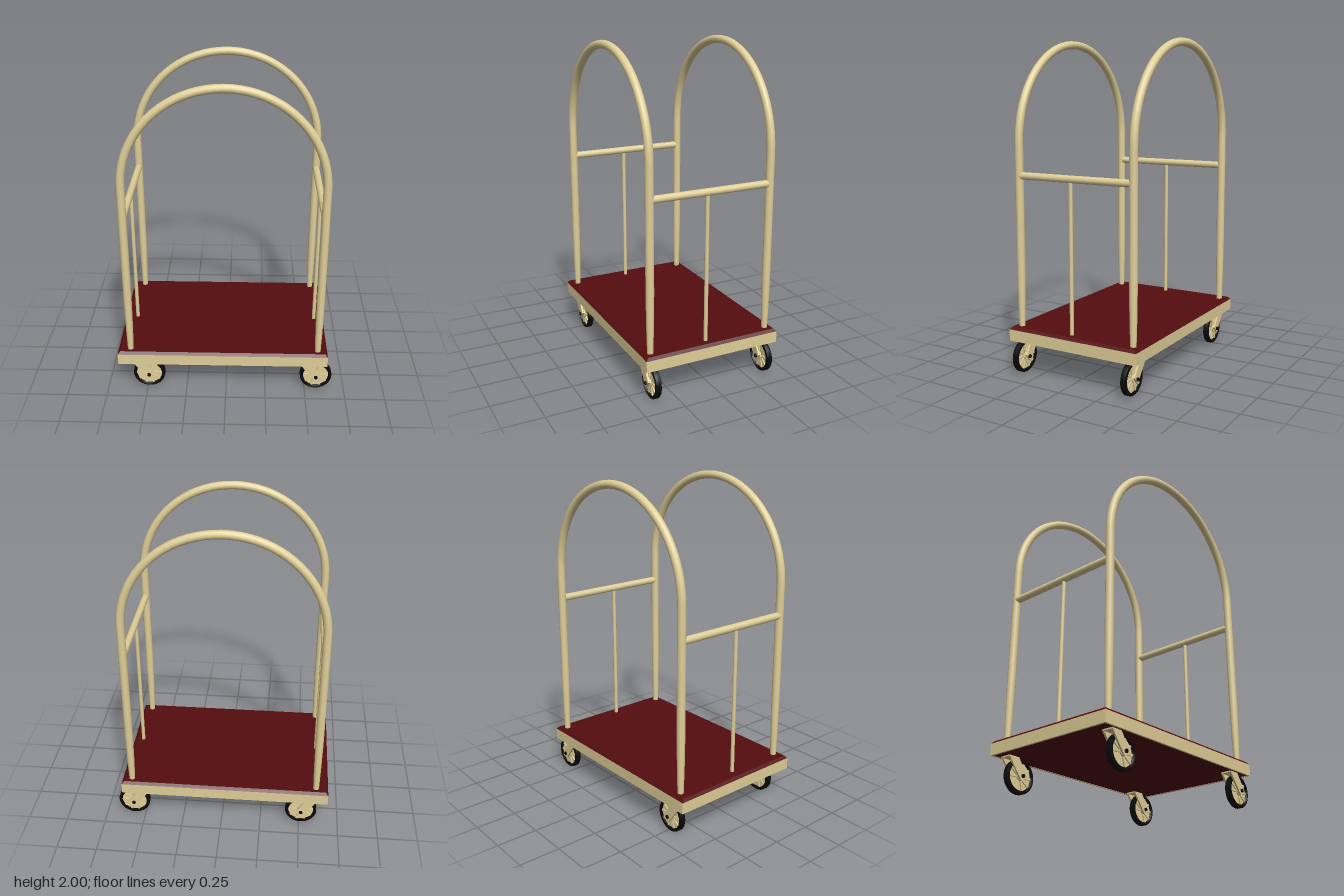
import * as THREE from 'three';

const brass = new THREE.MeshStandardMaterial({ color: 0xe0cf98 });
const carpet = new THREE.MeshStandardMaterial({ color: 0x550d0f });
const rubber = new THREE.MeshStandardMaterial({ color: 0x0a0a0a });

const CX = -0.012, SPAN = 0.586, ARCH_Z = 0.387; // arch centre, half span, depth
const TUBE = 0.025, SPRING = 1.39;               // tube radius, height where the arc starts
const DECK = { x: -0.02, w: 1.31, d: 0.876 };

function add(parent, name, geometry, material, x = 0, y = 0, z = 0) {
  const mesh = new THREE.Mesh(geometry, material);
  mesh.name = name;
  mesh.position.set(x, y, z);
  parent.add(mesh);
  return mesh;
}

// Arched hoop: two legs narrowing at the foot, joined by a half ring
function createHoop(name, z) {
  const hoop = new THREE.Group();
  hoop.name = name;
  hoop.position.set(CX, 0, z);
  const profile = [[0.018, 0.27], [0.0225, 0.45], [TUBE, 0.65], [TUBE, SPRING]]
    .map(([r, y]) => new THREE.Vector2(r, y));
  for (const s of [-1, 1]) add(hoop, 'hoopLeg', new THREE.LatheGeometry(profile, 20), brass, s * SPAN);
  add(hoop, 'hoopArc', new THREE.TorusGeometry(SPAN, TUBE, 16, 40, Math.PI), brass, 0, SPRING);
  return hoop;
}

// End rail: crossbar between the hoops with one thin post
function createEndRail(name, x) {
  const rail = new THREE.Group();
  rail.name = name;
  rail.position.x = x;
  const bar = new THREE.CylinderGeometry(0.022, 0.022, ARCH_Z * 2, 16).rotateX(Math.PI / 2);
  add(rail, 'crossbar', bar, brass, 0, 1.198);
  add(rail, 'post', new THREE.CylinderGeometry(0.012, 0.012, 0.92, 12), brass, 0, 0.735, 0.025);
  return rail;
}

// Platform: brass skirt around a carpeted board with a chamfered top
function createDeck() {
  const deck = new THREE.Group();
  deck.name = 'deck';
  deck.position.x = DECK.x;
  const { w, d } = DECK, t = 0.012;
  for (const s of [-1, 1]) {
    add(deck, 'longSkirt', new THREE.BoxGeometry(w, 0.07, t), brass, 0, 0.235, s * (d - t) / 2);
    add(deck, 'endSkirt', new THREE.BoxGeometry(t, 0.07, d - 2 * t), brass, s * (w - t) / 2, 0.235);
  }
  add(deck, 'board', new THREE.BoxGeometry(w - 2 * t, 0.068, d - 2 * t), carpet, 0, 0.236);
  const top = new THREE.BoxGeometry(w, 0.016, d).toNonIndexed();
  const p = top.attributes.position;
  for (let i = 0; i < p.count; i++) {
    if (p.getY(i) > 0) {
      p.setX(i, p.getX(i) - Math.sign(p.getX(i)) * 0.015);
      p.setZ(i, p.getZ(i) - Math.sign(p.getZ(i)) * 0.015);
    }
  }
  top.computeVertexNormals();
  add(deck, 'carpetTop', top, carpet, 0, 0.278);
  return deck;
}

// Caster: tyre, spoked wheel, axle and two slanted fork plates
function createCaster(name, x, z) {
  const caster = new THREE.Group();
  caster.name = name;
  caster.position.set(x, 0.1, z);

  const tyreProfile = [[0.08, -0.017], [0.097, -0.017], [0.1, -0.013], [0.1, 0.013],
    [0.097, 0.017], [0.08, 0.017], [0.08, -0.017]].map(([r, y]) => new THREE.Vector2(r, y));
  const tyre = new THREE.LatheGeometry(tyreProfile, 32).rotateX(Math.PI / 2);
  add(caster, 'tyre', tyre, rubber);

  const disc = (r, h) => new THREE.CylinderGeometry(r, r, h, 32).rotateX(Math.PI / 2);
  add(caster, 'wheelDisc', disc(0.081, 0.012), brass);
  add(caster, 'hub', disc(0.025, 0.042), brass);
  add(caster, 'axle', disc(0.011, 0.088), rubber);
  for (let i = 0; i < 5; i++) {
    const spoke = add(caster, 'spokePair', new THREE.BoxGeometry(0.16, 0.014, 0.026), brass);
    spoke.rotation.z = i * Math.PI / 5;
  }

  const outline = [[-0.108, 0.102], [-0.035, 0.102], [0.026, 0.012], [-0.008, -0.03]]
    .map(([px, py]) => new THREE.Vector2(px, py));
  for (const s of [-1, 1]) {
    const plate = new THREE.ExtrudeGeometry(new THREE.Shape(outline), { depth: 0.012, bevelEnabled: false });
    add(caster, 'forkPlate', plate, brass, 0, 0, s * 0.03 - 0.006);
  }
  add(caster, 'forkTop', new THREE.BoxGeometry(0.073, 0.008, 0.06), brass, -0.0715, 0.098);
  return caster;
}

export function createModel() {
  const cart = new THREE.Group();
  cart.name = 'luggageCart';
  cart.add(createDeck());
  cart.add(createHoop('frontHoop', ARCH_Z), createHoop('backHoop', -ARCH_Z));
  cart.add(createEndRail('leftRail', CX + SPAN), createEndRail('rightRail', CX - SPAN));
  cart.add(createCaster('frontLeftCaster', 0.57, 0.376), createCaster('backLeftCaster', 0.57, -0.374));
  cart.add(createCaster('frontRightCaster', -0.488, 0.376), createCaster('backRightCaster', -0.51, -0.374));
  return cart;
}
